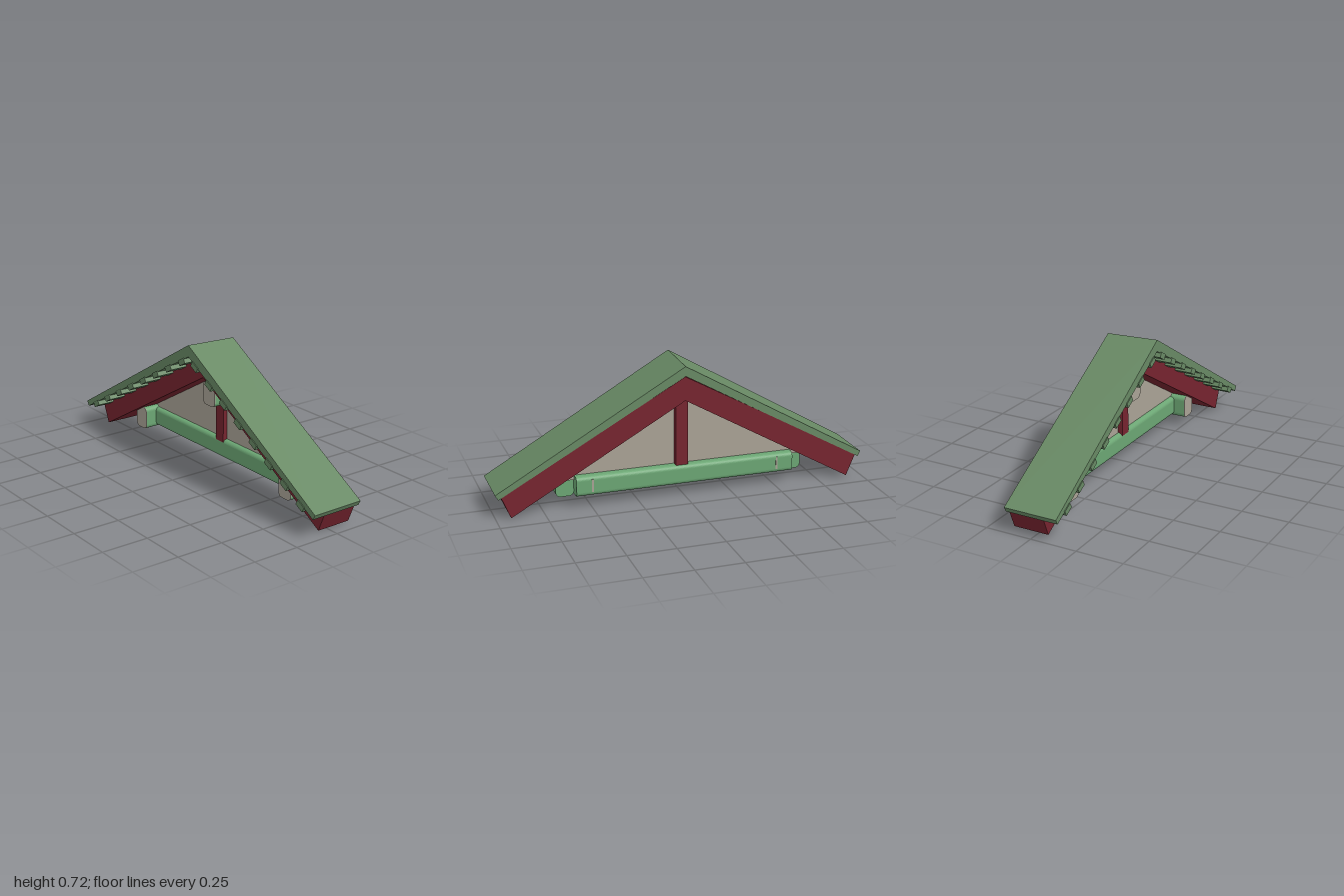
import * as THREE from 'three';

const mat = (name, color) => {
  const m = new THREE.MeshStandardMaterial({ color });
  m.name = name;
  return m;
};

// Outline from [z, y] points
const outline = (pts) => new THREE.Shape(pts.map(([a, b]) => new THREE.Vector2(a, b)));

// Mirrored gable outline from its +z half, listed from outer apex to inner apex
const gable = (half) => outline([
  ...half,
  ...half.slice(1, -1).reverse().map(([z, y]) => [-z, y]),
]);

const roundedRect = (a0, b0, a1, b1, r) => {
  const s = new THREE.Shape();
  s.absarc(a1 - r, b0 + r, r, -Math.PI / 2, 0);
  s.absarc(a1 - r, b1 - r, r, 0, Math.PI / 2);
  s.absarc(a0 + r, b1 - r, r, Math.PI / 2, Math.PI);
  s.absarc(a0 + r, b0 + r, r, Math.PI, Math.PI * 1.5);
  return s;
};

// Extrude a (z, y) outline along x from x0 to x1
const alongX = (shape, x0, x1) => {
  const g = new THREE.ExtrudeGeometry(shape, { depth: x1 - x0, bevelEnabled: false, curveSegments: 4 });
  g.rotateY(-Math.PI / 2);
  g.translate(x1, 0, 0);
  return g;
};

export function createModel() {
  const group = new THREE.Group();
  const roofGreen = mat('roof green', 0x688964);
  const beamGreen = mat('beam green', 0x6ca674);
  const red = mat('dark red', 0x76242f);
  const beige = mat('warm grey', 0xaaa396);

  const add = (name, geometry, material) => {
    const mesh = new THREE.Mesh(geometry, material);
    mesh.name = name;
    group.add(mesh);
    return mesh;
  };
  const box = (name, material, x0, x1, y0, y1, z0, z1) => {
    const mesh = add(name, new THREE.BoxGeometry(x1 - x0, y1 - y0, z1 - z0), material);
    mesh.position.set((x0 + x1) / 2, (y0 + y1) / 2, (z0 + z1) / 2);
    return mesh;
  };

  // Roof, with a ridge that dips slightly towards +x
  const roof = alongX(gable([[0, 0.712], [1, 0.134], [0.985, 0.107], [0, 0.655]]), -0.143, 0.145);
  const p = roof.attributes.position;
  for (let i = 0; i < p.count; i++) {
    if (p.getY(i) > 0.7) p.setY(i, p.getY(i) - 0.035 * p.getX(i));
  }
  roof.computeVertexNormals();
  add('roof', roof, roofGreen);

  // Rafters
  add('rafters', alongX(gable([[0.02, 0.65], [0.97, 0.118], [0.922, 0.002], [0, 0.525]]
    .map(([z, y], i) => (i === 0 ? [0, y + 0.002] : [z, y]))), -0.05, 0.142), red);

  // Infill panel behind the post
  add('gablePanel', alongX(outline([[-0.72, 0.145], [0.72, 0.145], [0, 0.56]]), 0.075, 0.086), beige);

  // King post
  box('kingPost', red, 0.05, 0.12, 0.155, 0.55, -0.022, 0.043);

  // Rounded tie beam with two slim slots
  const beam = new THREE.ExtrudeGeometry(roundedRect(0.05, 0.065, 0.135, 0.17, 0.022),
    { depth: 1.185, bevelEnabled: false, curveSegments: 4 });
  beam.translate(0, 0, -0.605);
  add('tieBeam', beam, beamGreen);
  for (const z of [0.495, -0.515]) {
    box('beamSlot', beige, 0.131, 0.1365, 0.087, 0.155, z - 0.005, z + 0.005);
  }

  // Purlin ends with pale end caps
  for (const [z0, z1, y0, y1] of [[0.58, 0.675, 0.055, 0.18], [-0.675, -0.58, 0.055, 0.18], [-0.045, 0.055, 0.365, 0.49]]) {
    const section = roundedRect(z0, y0, z1, y1, 0.025);
    add('purlin', alongX(section, -0.012, 0.074), beamGreen);
    add('purlinCap', alongX(section, -0.016, -0.012), beige);
  }

  // Small blocks under the rear overhang
  const slope = Math.atan2(0.548, 0.985);
  for (const side of [1, -1]) {
    for (let i = 0; i < 8; i++) {
      const z = 0.055 + i * 0.12;
      const block = box('eaveBlock', roofGreen, -0.148, -0.045, -0.015, 0.015, -0.027, 0.027);
      block.position.set(-0.0965, 0.645 - 0.556 * z, side * z);
      block.rotation.x = side * slope;
    }
  }

  return group;
}
